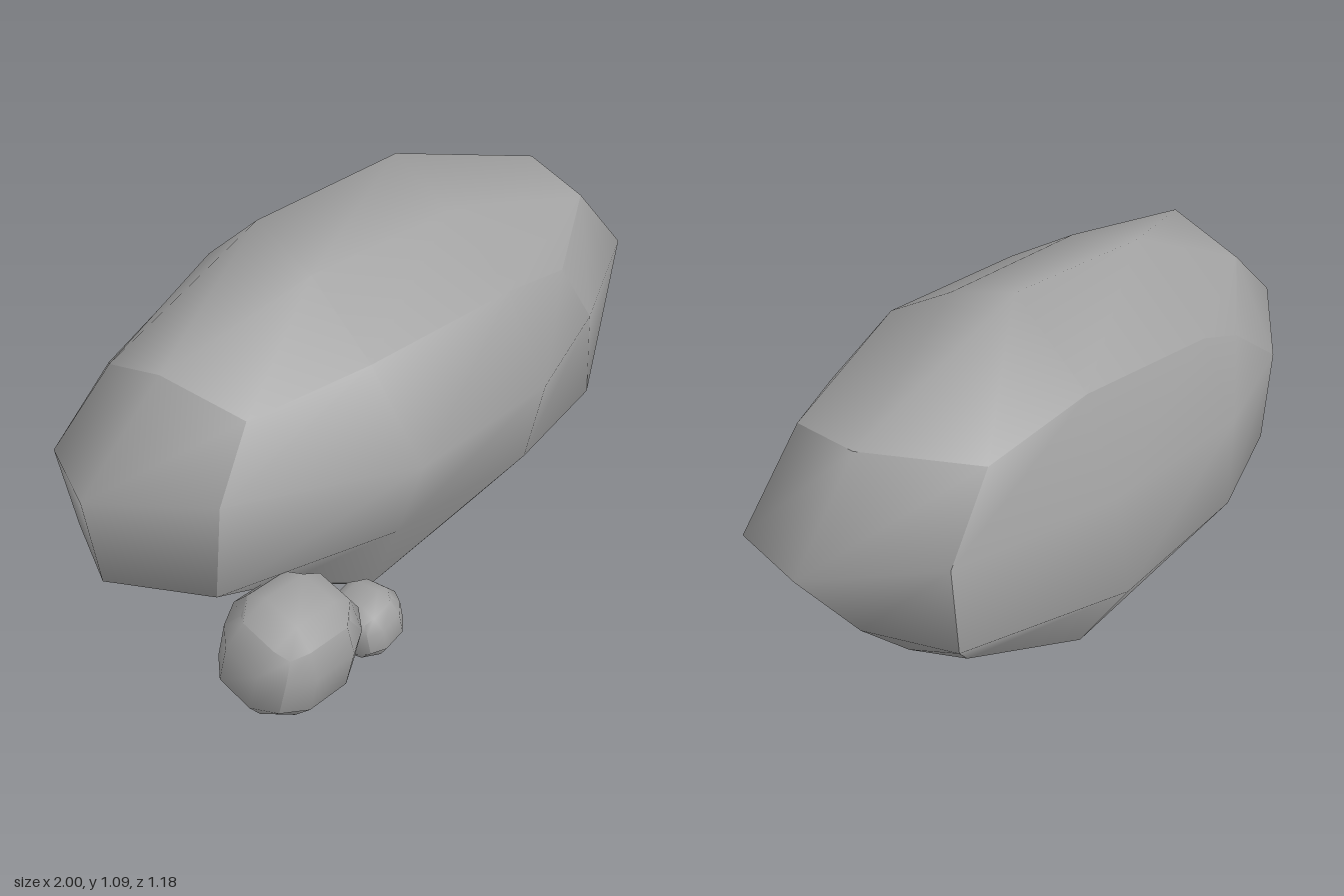
import * as THREE from 'three';

const stone = new THREE.MeshStandardMaterial({ color: 0xa0a0a0 });

// A 3x3x3 box lattice bulged into a boulder; each of the six sides is smooth,
// with a soft crease where two sides meet. For each axis, inner holds the two
// middle grid lines; low and high hold [face, edge, corner] reach on each side.
// tweaks: 'ijk' lattice index -> exact coordinates [x, y, z] (null keeps the rule).
function rock(name, axes, tweaks) {
  const geo = new THREE.BoxGeometry(3, 3, 3, 3, 3, 3);
  const pos = geo.attributes.position;
  for (let v = 0; v < pos.count; v++) {
    const id = [pos.getX(v), pos.getY(v), pos.getZ(v)].map((c) => Math.round(c + 1.5));
    const reach = id.filter((c) => c === 0 || c === 3).length - 1;
    const exact = tweaks[id.join('')] || [];
    const p = id.map((c, a) => {
      const { inner, low, high } = axes[a];
      const ruled = c === 0 ? low[reach] : c === 3 ? high[reach] : inner[c - 1];
      return exact[a] ?? ruled;
    });
    pos.setXYZ(v, ...p);
  }
  geo.computeVertexNormals();
  const mesh = new THREE.Mesh(geo, stone);
  mesh.name = name;
  return mesh;
}

// Roundish small stone built on the same lattice
function pebble(name, [x, y, z], [rx, ry, rz], tilt) {
  const axis = (r) => ({
    inner: [-0.36 * r, 0.36 * r],
    low: [-r, -0.74 * r, -0.58 * r],
    high: [r, 0.74 * r, 0.58 * r],
  });
  const mesh = rock(name, [axis(rx), axis(ry), axis(rz)], {});
  mesh.position.set(x, y, z);
  mesh.rotation.set(...tilt);
  return mesh;
}

export function createModel() {
  const group = new THREE.Group();
  group.name = 'rocks';

  const axes = [
    { inner: [-0.26, 0.23], low: [-0.97, -0.74, -0.61], high: [0.97, 0.75, 0.5] },
    { inner: [0.34, 0.62], low: [0.03, 0.07, 0.13], high: [1.05, 0.88, 0.79] },
    { inner: [-0.18, 0.05], low: [-0.57, -0.425, -0.36], high: [0.47, 0.29, 0.21] },
  ];
  const _ = null;
  const tweaks = {
    // left and right ends
    311: [0.81], 312: [0.8], 321: [1], 322: [0.97],
    '011': [-0.9], '012': [-0.97], '021': [-0.94], '022': [-1],
    // top and underside
    131: [_, 1.05], 132: [_, 0.985], 231: [_, 1.085], 232: [_, 1.0],
    // front and back
    113: [_, _, 0.4], 123: [_, _, 0.495], 213: [_, _, 0.39], 223: [_, _, 0.45],
    110: [_, _, -0.55], 120: [_, _, -0.545], 210: [_, _, -0.585], 220: [_, _, -0.535],
    // upright edges
    313: [0.6], 323: [0.58], 310: [0.7], 320: [0.72],
    '013': [-0.78], '023': [-0.75], '010': [-0.6], '020': [-0.62],
    // top rim
    133: [_, 0.83], 233: [_, 0.85], 130: [_, 0.835], 230: [_, 0.89],
    331: [0.79, 0.89], 332: [0.77, 0.855], '031': [-0.75, 0.805], '032': [-0.74, 0.89],
    // bottom rim
    301: [0.65, 0.165], 302: [0.5, 0.125], '001': [-0.71, 0.06, -0.13], '002': [-0.64, 0.11],
    203: [0.19, 0.08, 0.22], 100: [-0.27, _, -0.375],
    // corners
    303: [0.42, 0.14, 0.17], 300: [0.55, 0.14, -0.3],
    '003': [-0.48, 0.12, 0.17], '000': [-0.435, 0.083, -0.304],
    333: [0.51, 0.78, 0.23], 330: [0.53, 0.8, -0.37],
    '033': [-0.6, 0.77], '030': [-0.46, 0.745, -0.395],
  };
  group.add(rock('boulder', axes, tweaks));

  group.add(pebble('mediumStone', [-0.65, 0.191, 0.42], [0.185, 0.174, 0.158], [0.2, 0.1, -0.08]));
  group.add(pebble('smallStone', [-0.385, 0.099, 0.405], [0.1, 0.093, 0.1], [-0.1, 0.2, 0.12]));
  return group;
}
